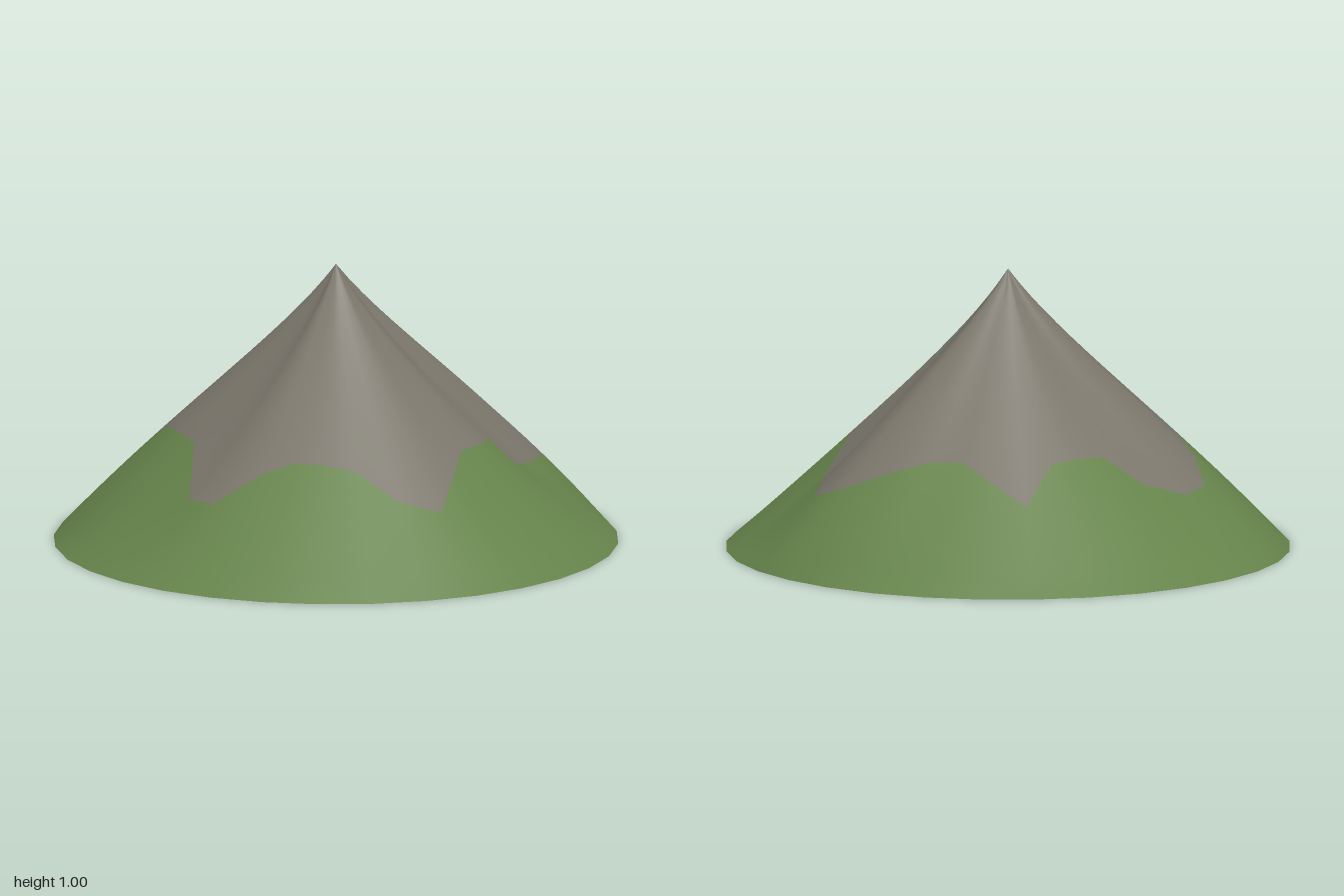
import * as THREE from 'three';

const SIDES = 32, GRASS_ROWS = 6, ROCK_ROWS = 12;

// Around the hill from +x towards +z: height of the grass edge, and bulge of ridges and gullies
const EDGE = [.3, .25, .26, .28, .4, .4, .4, .34, .25, .29, .38, .4, .4, .36, .26, .25,
  .33, .39, .4, .4, .34, .26, .25, .3, .4, .4, .4, .27, .35, .4, .4, .36];
const BULGE = [.05, .03, -.05, -.08, -.03, -.03, -.03, -.02, 0, -.02, -.02, -.03, -.04, -.04, -.03, -.07,
  -.08, -.07, -.04, .01, .01, -.01, -.04, -.08, -.06, -.07, -.04, -.05, -.02, -.05, -.01, .01];

// Cone radius with a hollowed peak; bulges fade out at the foot and the top
function radius(i, y) {
  if (y >= 1) return 0;
  const r = 1 - y - 0.3 * y ** 3 * (1 - y) + BULGE[i] * Math.sin(Math.PI * y ** 0.8);
  return Math.max(r, 0);
}

export function createModel() {
  const grass = new THREE.MeshStandardMaterial({ color: 0x66834b, side: THREE.DoubleSide });
  grass.name = 'grass green';
  const rock = new THREE.MeshStandardMaterial({ color: 0x7a766b, side: THREE.DoubleSide });
  rock.name = 'rock grey';

  // Rings of points: the lower rows end on the grass edge, the upper rows on the peak
  const rows = GRASS_ROWS + ROCK_ROWS;
  const positions = [];
  for (let j = 0; j <= rows; j++) {
    for (let i = 0; i < SIDES; i++) {
      const y = j <= GRASS_ROWS
        ? EDGE[i] * j / GRASS_ROWS
        : THREE.MathUtils.lerp(EDGE[i], 1, (j - GRASS_ROWS) / ROCK_ROWS);
      const a = i / SIDES * Math.PI * 2, r = radius(i, y);
      positions.push(Math.cos(a) * r, y, Math.sin(a) * r);
    }
  }

  const facesBetween = (from, to) => {
    const index = [];
    for (let j = from; j < to; j++) {
      for (let i = 0; i < SIDES; i++) {
        const n = (i + 1) % SIDES;
        const a = j * SIDES + i, b = j * SIDES + n;
        index.push(a, a + SIDES, b);
        if (j < rows - 1) index.push(b, a + SIDES, b + SIDES);
      }
    }
    return index;
  };

  // Normals are worked out over the whole slope, so shading runs on across the grass edge
  const slope = new THREE.BufferGeometry();
  slope.setAttribute('position', new THREE.Float32BufferAttribute(positions, 3));
  slope.setIndex(facesBetween(0, rows));
  slope.computeVertexNormals();

  const group = new THREE.Group();
  group.name = 'mountain';
  const addPart = (name, material, from, to) => {
    const geometry = slope.clone();
    geometry.setIndex(facesBetween(from, to));
    const mesh = new THREE.Mesh(geometry, material);
    mesh.name = name;
    group.add(mesh);
  };
  addPart('grassSlope', grass, 0, GRASS_ROWS);
  addPart('rockPeak', rock, GRASS_ROWS, rows);
  return group;
}
